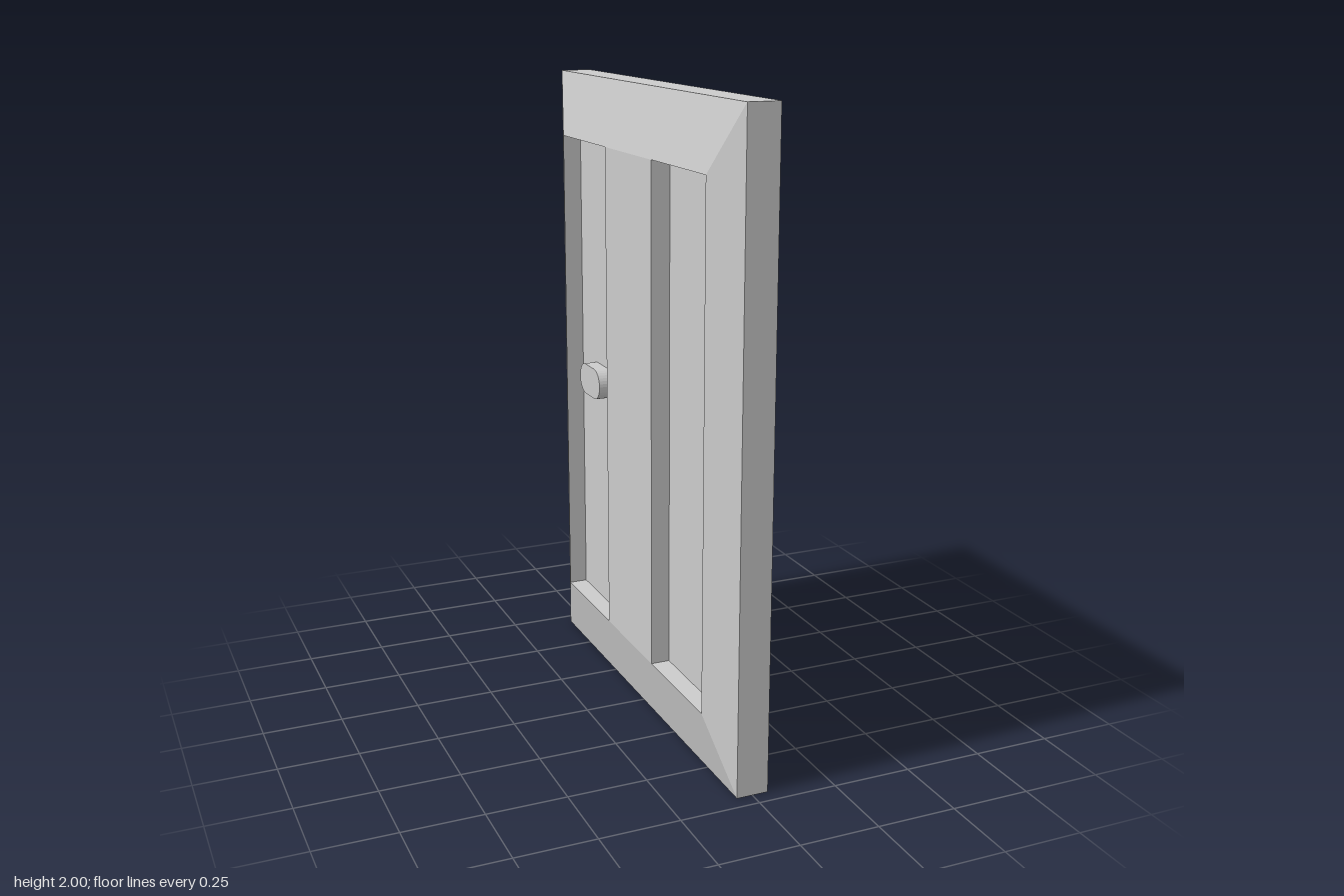
import * as THREE from 'three';

const material = new THREE.MeshStandardMaterial({ color: 0xcccccc, flatShading: true });

function addMesh(group, name, geometry) {
  const mesh = new THREE.Mesh(geometry, material);
  mesh.name = name;
  group.add(mesh);
  return mesh;
}

// Box lying in the door plane: thickness t (x), from y0 to y1, width w (z)
function slab(t, y0, y1, w) {
  return new THREE.BoxGeometry(t, y1 - y0, w).translate(0, (y0 + y1) / 2, 0);
}

// Bevelled frame: a cross-section swept around the four mitred corners
function frameGeometry() {
  // each row: x, half width, bottom, top
  const front = [
    [0.04, 0.56, 0.215, 1.79],
    [0.1, 0.56, 0.215, 1.798],
    [0.05, 0.703, 0, 2],
  ];
  const back = front.map(([x, ...rest]) => [-x, ...rest]).reverse();
  const section = [...front, ...back];
  const corner = ([x, w, y0, y1], c) =>
    [x, c % 4 < 2 ? y0 : y1, c % 4 === 0 || c % 4 === 3 ? w : -w];

  const positions = [];
  for (let c = 0; c < 4; c++) {
    for (let k = 0; k < section.length - 1; k++) {
      const a = corner(section[k], c);
      const b = corner(section[k + 1], c);
      const d = corner(section[k + 1], c + 1);
      const e = corner(section[k], c + 1);
      positions.push(...a, ...b, ...d, ...a, ...d, ...e);
    }
  }
  const geometry = new THREE.BufferGeometry();
  geometry.setAttribute('position', new THREE.Float32BufferAttribute(positions, 3));
  geometry.computeVertexNormals();
  return geometry;
}

// Pill-shaped knob, extruded outwards along +x
function handleGeometry() {
  const r = 0.051, half = 0.04;
  const shape = new THREE.Shape();
  shape.absarc(half, 0, r, -Math.PI / 2, Math.PI / 2);
  shape.absarc(-half, 0, r, Math.PI / 2, Math.PI * 1.5);
  return new THREE.ExtrudeGeometry(shape, { depth: 0.045, bevelEnabled: false, curveSegments: 8 });
}

export function createModel() {
  const door = new THREE.Group();
  door.name = 'door';

  addMesh(door, 'frame', frameGeometry());
  // recessed sheet behind both panels
  addMesh(door, 'recessedPanels', slab(0.08, 0.2, 1.8, 1.13));
  // raised strip between the two recesses
  addMesh(door, 'centreStile', slab(0.2, 0.215, 1.798, 0.366));

  // one handle on each face
  for (const side of [1, -1]) {
    const handle = addMesh(door, side > 0 ? 'leftHandle' : 'rightHandle', handleGeometry());
    handle.rotation.y = side * Math.PI / 2;
    handle.position.set(side * 0.04, 1, -0.38);
  }
  return door;
}
